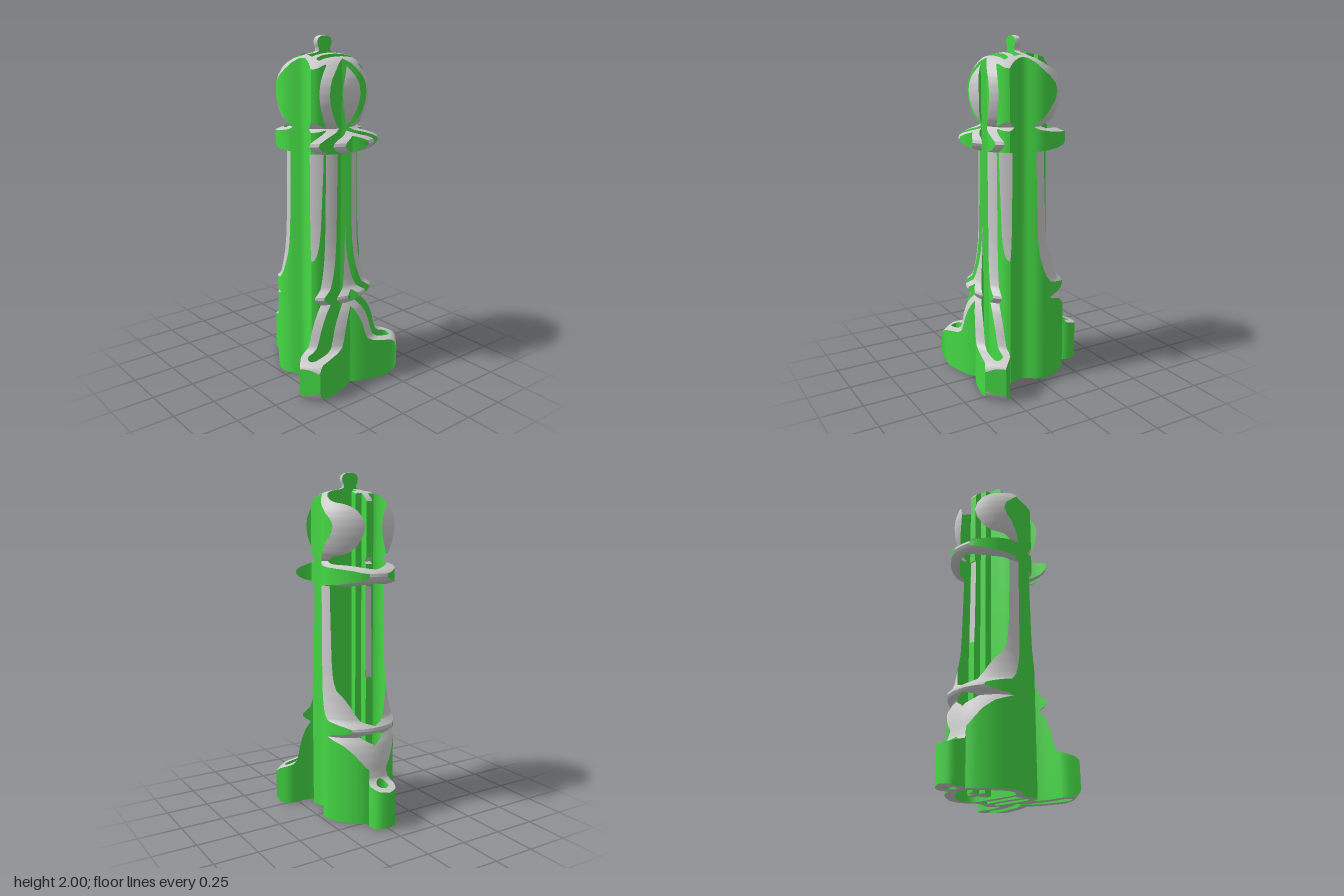
import * as THREE from 'three';
import { toCreasedNormals } from 'three/addons/utils/BufferGeometryUtils.js';

// A turned chess piece intersected with an upright extrusion of its own flat symbol.
const AXIS_Z = 0.037;

// Turned profile: [radius, height]
const PROFILE = [
  [0, 0], [0.40, 0], [0.43, 0.01], [0.45, 0.035], [0.461, 0.07], [0.465, 0.12], [0.461, 0.17],
  [0.45, 0.205], [0.43, 0.222], [0.39, 0.236], [0.345, 0.25], [0.325, 0.27], [0.315, 0.31],
  [0.305, 0.37], [0.292, 0.42], [0.275, 0.465], [0.25, 0.505], [0.256, 0.515], [0.28, 0.532],
  [0.291, 0.55], [0.288, 0.565], [0.272, 0.58], [0.252, 0.6], [0.24, 0.64], [0.228, 0.7],
  [0.218, 0.77], [0.212, 0.85], [0.209, 0.95], [0.207, 1.1], [0.205, 1.25], [0.204, 1.37],
  [0.24, 1.376], [0.28, 1.39], [0.305, 1.408], [0.317, 1.43], [0.312, 1.447], [0.29, 1.463],
  [0.25, 1.48], [0.21, 1.495], [0.193, 1.508], [0.205, 1.52], [0.228, 1.555], [0.245, 1.6],
  [0.257, 1.65], [0.261, 1.7], [0.257, 1.745], [0.245, 1.785], [0.225, 1.82], [0.2, 1.855],
  [0.17, 1.88], [0.12, 1.897], [0.06, 1.907], [0.043, 1.915], [0.043, 1.93], [0.052, 1.95],
  [0.054, 1.967], [0.048, 1.984], [0.03, 1.996], [0, 2],
];

// Half outlines in plan, back to front: [x, z, 1 if corner]
const OUTLINE = [
  [0, -0.396], [0.055, -0.373], [0.078, -0.318], [0.07, -0.29], [0.056, -0.271, 1],
  [0.1, -0.25], [0.155, -0.2], [0.2, -0.135], [0.223, -0.07], [0.212, -0.01], [0.185, 0.03],
  [0.158, 0.068], [0.163, 0.11], [0.18, 0.165, 1], [0.155, 0.188], [0.105, 0.207, 1],
  [0.155, 0.226], [0.21, 0.237], [0.283, 0.233, 1], [0.32, 0.25], [0.368, 0.3, 1],
  [0.292, 0.393, 1], [0.27, 0.38], [0.2, 0.371], [0.1, 0.348], [0.04, 0.325], [0, 0.3],
];
const HOLES = {
  ringHole: [[0, -0.356], [0.026, -0.345], [0.036, -0.32], [0.026, -0.297], [0, -0.287]],
  headHole: [[0, -0.243], [0.06, -0.215], [0.12, -0.16], [0.17, -0.1], [0.184, -0.05],
    [0.172, -0.01], [0.145, 0.018], [0.1, 0.028], [0.04, 0.025], [0, 0.025]],
  bandHole: [[0, 0.057, 1], [0.06, 0.056], [0.126, 0.048, 1], [0.12, 0.075], [0.13, 0.107, 1],
    [0.07, 0.1], [0, 0.098]],
  brimHole: [[0, 0.13], [0.07, 0.133], [0.12, 0.139], [0.133, 0.155], [0.12, 0.17],
    [0.07, 0.175], [0, 0.178]],
  footHole: [[0, 0.207], [0.04, 0.23], [0.09, 0.253], [0.17, 0.272], [0.23, 0.272],
    [0.285, 0.275], [0.304, 0.292], [0.302, 0.318], [0.275, 0.33], [0.2, 0.328],
    [0.1, 0.305], [0.04, 0.279], [0, 0.245]],
};
const CROSS = [[0, -0.175, 1], [0.02, -0.175, 1], [0.02, -0.125, 1], [0.06, -0.125, 1],
  [0.06, -0.085, 1], [0.02, -0.085, 1], [0.02, -0.03, 1], [0, -0.03]];

// Smooth a half outline between its corners, then mirror it into a closed loop
function makeLoop(half) {
  const pts = [];
  let piece = [];
  half.forEach(([x, z, corner], i) => {
    piece.push(new THREE.Vector2(x, z));
    if ((corner && i > 0) || i === half.length - 1) {
      const curve = new THREE.SplineCurve(piece);
      const steps = Math.max(2, Math.ceil(curve.getLength() / 0.018));
      pts.push(...curve.getSpacedPoints(steps).slice(pts.length ? 1 : 0));
      piece = [piece[piece.length - 1]];
    }
  });
  const mirrored = pts.slice(0, -1).reverse().map((p) => new THREE.Vector2(-p.x, p.y));
  return [...pts, ...mirrored];
}

// Signed distance to the plan shape, positive inside
function insideDistance(loops, x, z) {
  let best = Infinity, inside = false;
  for (const loop of loops) {
    for (let i = 1; i < loop.length; i++) {
      const a = loop[i - 1], b = loop[i];
      const dx = b.x - a.x, dz = b.y - a.y;
      const len = dx * dx + dz * dz || 1e-12;
      const t = Math.min(1, Math.max(0, ((x - a.x) * dx + (z - a.y) * dz) / len));
      best = Math.min(best, (x - a.x - t * dx) ** 2 + (z - a.y - t * dz) ** 2);
      if ((a.y > z) !== (b.y > z) && x < a.x + (z - a.y) / dz * dx) inside = !inside;
    }
  }
  return Math.sqrt(best) * (inside ? 1 : -1);
}

// Grid surface point(u, v), keeping only the part where keep(position) > 0
function trimmedSurface(nu, nv, point, keep) {
  const grid = [];
  for (let i = 0; i <= nu; i++) {
    grid.push([]);
    for (let j = 0; j <= nv; j++) {
      const p = point(i, j);
      grid[i].push({ p, f: keep(p, j) });
    }
  }
  const out = [];
  const cross = new THREE.Vector3(), e = new THREE.Vector3();
  const clip = (tri) => {
    const poly = [];
    tri.forEach((a, k) => {
      const b = tri[(k + 1) % 3];
      if (a.f > 0) poly.push(a.p);
      if ((a.f > 0) !== (b.f > 0)) poly.push(a.p.clone().lerp(b.p, a.f / (a.f - b.f)));
    });
    for (let k = 2; k < poly.length; k++) {
      cross.subVectors(poly[k - 1], poly[0]).cross(e.subVectors(poly[k], poly[0]));
      if (cross.length() < 1e-9) continue;
      for (const q of [poly[0], poly[k - 1], poly[k]]) out.push(q.x, q.y, q.z);
    }
  };
  for (let i = 0; i < nu; i++) {
    for (let j = 0; j < nv; j++) {
      const a = grid[i][j], b = grid[i + 1][j], c = grid[i + 1][j + 1], d = grid[i][j + 1];
      clip([a, b, c]);
      clip([a, c, d]);
    }
  }
  const geo = new THREE.BufferGeometry();
  geo.setAttribute('position', new THREE.Float32BufferAttribute(out, 3));
  return toCreasedNormals(geo, 0.6);
}

export function createModel() {
  const group = new THREE.Group();
  const grey = new THREE.MeshStandardMaterial({ color: 0xcccccc });
  const green = new THREE.MeshStandardMaterial({ color: 0x44d944 });
  const add = (name, geo, mat) => {
    const mesh = new THREE.Mesh(geo, mat);
    mesh.name = name;
    group.add(mesh);
  };

  // Solids run reversed so that their walls face outwards, holes inwards
  const walls = { outerWall: makeLoop(OUTLINE).reverse(), crossWall: makeLoop(CROSS).reverse() };
  for (const name in HOLES) walls[name] = makeLoop(HOLES[name]);
  const loops = Object.values(walls);

  // Upright walls, cut off where they leave the turned body
  const rows = PROFILE.slice(1);
  for (const name in walls) {
    const loop = walls[name];
    add(name, trimmedSurface(loop.length - 1, rows.length - 1,
      (i, j) => new THREE.Vector3(loop[i].x, rows[j][1], loop[i].y),
      (p, j) => rows[j][0] - Math.hypot(p.x, p.z - AXIS_Z)), green);
  }

  // Turned surface, kept only inside the plan shape
  const fine = [PROFILE[0]];
  for (let k = 1; k < PROFILE.length; k++) {
    const [r0, y0] = PROFILE[k - 1], [r1, y1] = PROFILE[k];
    const n = Math.ceil(Math.hypot(r1 - r0, y1 - y0) / 0.02);
    for (let s = 1; s <= n; s++) fine.push([r0 + (r1 - r0) * s / n, y0 + (y1 - y0) * s / n]);
  }
  const sides = 240;
  add('turnedSurface', trimmedSurface(sides, fine.length - 1, (i, j) => {
    const a = (i / sides) * Math.PI * 2, [r, y] = fine[j];
    return new THREE.Vector3(r * Math.sin(a), y, AXIS_Z + r * Math.cos(a));
  }, (p) => insideDistance(loops, p.x, p.z)), grey);

  return group;
}
